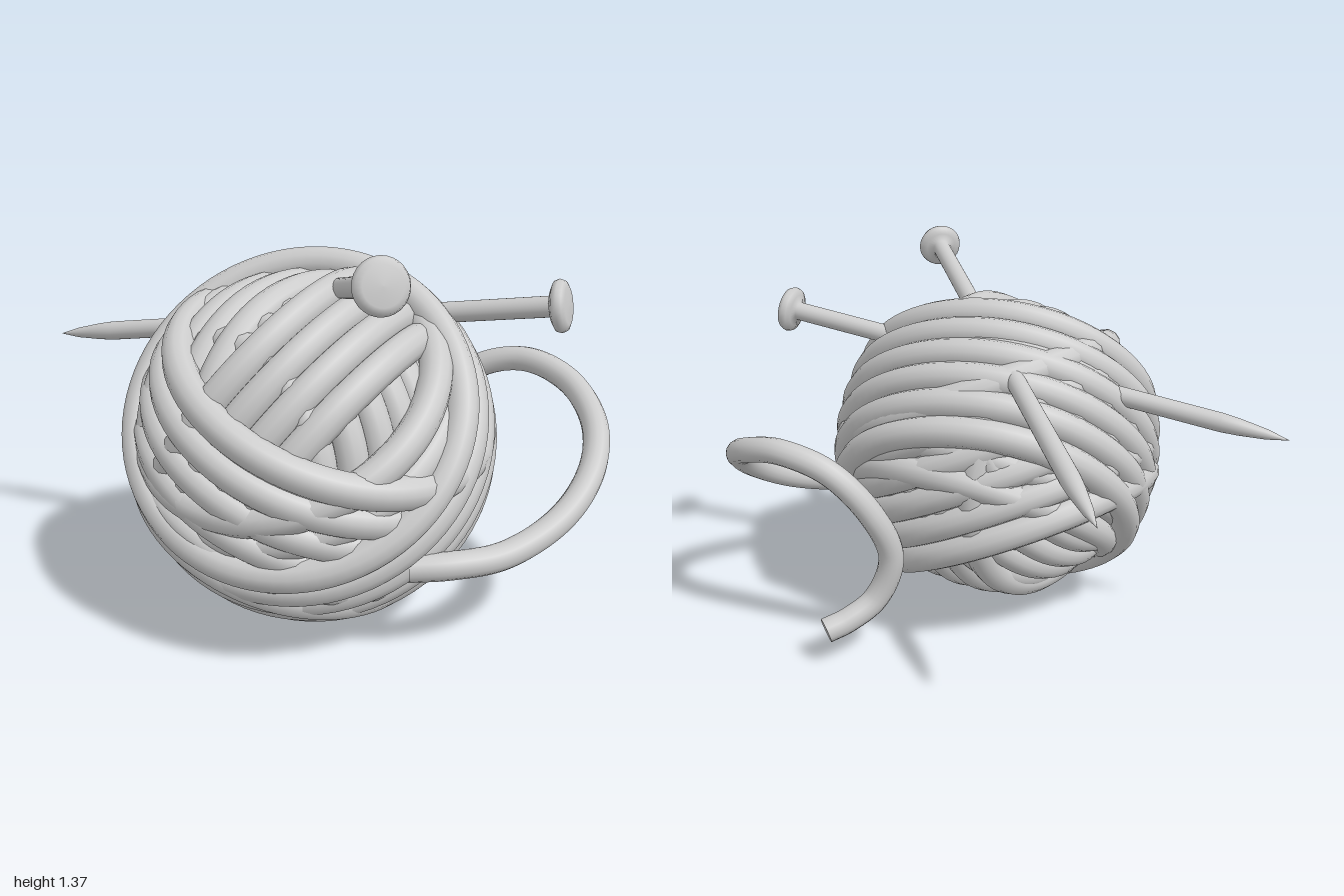
import * as THREE from 'three';

const material = new THREE.MeshStandardMaterial({ color: 0xcccccc, roughness: 0.8 });
const CENTER = new THREE.Vector3(-0.03, 0.617, 0.29);
const YARN = 0.055;

function addMesh(parent, name, geometry) {
  const mesh = new THREE.Mesh(geometry, material);
  mesh.name = name;
  parent.add(mesh);
  return mesh;
}

// Parallel strands stacked along one axis into a barrel that narrows towards both ends
function windingBand(name, axis, radius, taper, from, count, spacing) {
  const band = new THREE.Group();
  band.name = name;
  for (let i = 0; i < count; i++) {
    const offset = from + i * spacing;
    const ring = radius - taper * offset * offset;
    addMesh(band, 'strand', new THREE.TorusGeometry(ring, YARN, 12, 80)).position.z = offset;
  }
  const normal = new THREE.Vector3(...axis).normalize();
  band.quaternion.setFromUnitVectors(new THREE.Vector3(0, 0, 1), normal);
  return band;
}

// Needle turned around its length: pointed tip, straight shaft, rounded head
function needle(name, head, tip) {
  const start = new THREE.Vector3(...head);
  const direction = new THREE.Vector3(...tip).sub(start);
  const length = direction.length();
  const profile = [
    [0, -0.03], [0.06, -0.028], [0.078, -0.02], [0.085, -0.004],
    [0.08, 0.012], [0.06, 0.022], [0.034, 0.03], [0.034, length - 0.24],
    [0.03, length - 0.18], [0.018, length - 0.08], [0, length],
  ].map(([r, y]) => new THREE.Vector2(r, y));
  const group = new THREE.Group();
  group.name = name;
  const mesh = addMesh(group, 'needleBody', new THREE.LatheGeometry(profile, 28));
  mesh.material = material.clone();
  mesh.material.side = THREE.DoubleSide;
  group.position.copy(start);
  group.quaternion.setFromUnitVectors(new THREE.Vector3(0, 1, 0), direction.normalize());
  return group;
}

// Loose end of the yarn, closed by a flat disc
function looseTail() {
  const group = new THREE.Group();
  group.name = 'looseTail';
  const curve = new THREE.CatmullRomCurve3([
    [0.28, 0.32, 0.7], [0.42, 0.325, 0.69], [0.6, 0.335, 0.63], [0.8, 0.41, 0.5],
    [0.92, 0.52, 0.35], [0.952, 0.63, 0.19], [0.89, 0.725, 0], [0.75, 0.765, -0.13],
    [0.58, 0.71, -0.2], [0.44, 0.55, -0.21], [0.38, 0.37, -0.18], [0.44, 0.21, -0.18],
    [0.54, 0.145, -0.22], [0.62, 0.12, -0.25],
  ].map((p) => new THREE.Vector3(...p)));
  addMesh(group, 'tailStrand', new THREE.TubeGeometry(curve, 120, 0.046, 14, false));
  const cap = addMesh(group, 'tailEnd', new THREE.CircleGeometry(0.046, 14));
  cap.position.copy(curve.getPoint(1));
  cap.quaternion.setFromUnitVectors(new THREE.Vector3(0, 0, 1), curve.getTangent(1));
  return group;
}

export function createModel() {
  const model = new THREE.Group();
  model.name = 'yarnBallWithNeedles';

  // Ball: solid core, inner windings, then the crossing outer bands
  const ball = new THREE.Group();
  ball.name = 'yarnBall';
  ball.position.copy(CENTER);
  addMesh(ball, 'core', new THREE.SphereGeometry(0.45, 40, 28));
  ball.add(
    windingBand('innerWinding', [0.7, 0, -0.7], 0.47, 0.9, -0.32, 8, 0.092),
    windingBand('underWinding', [0.72, 0.06, 0.69], 0.51, 0.6, -0.28, 4, 0.1),
    windingBand('sideWinding', [-0.3, 0.8, 0.5], 0.525, 0.55, -0.26, 6, 0.1),
    windingBand('slantedWinding', [-0.73, 0.58, -0.35], 0.515, 0.55, -0.08, 4, 0.1),
    windingBand('levelWinding', [0.31, 0.9, 0.3], 0.545, 0.5, -0.28, 6, 0.102),
    windingBand('outerWinding', [-0.22, 0.63, 0.75], 0.57, 0.6, -0.265, 6, 0.098),
  );
  model.add(ball);

  model.add(looseTail());

  // Two needles crossing through the top of the ball
  model.add(
    needle('frontNeedle', [0.175, 1.27, 0.89], [-0.24, 0.83, -0.93]),
    needle('sideNeedle', [0.75, 1.115, 0.475], [-1, 0.82, -0.26]),
  );
  return model;
}
